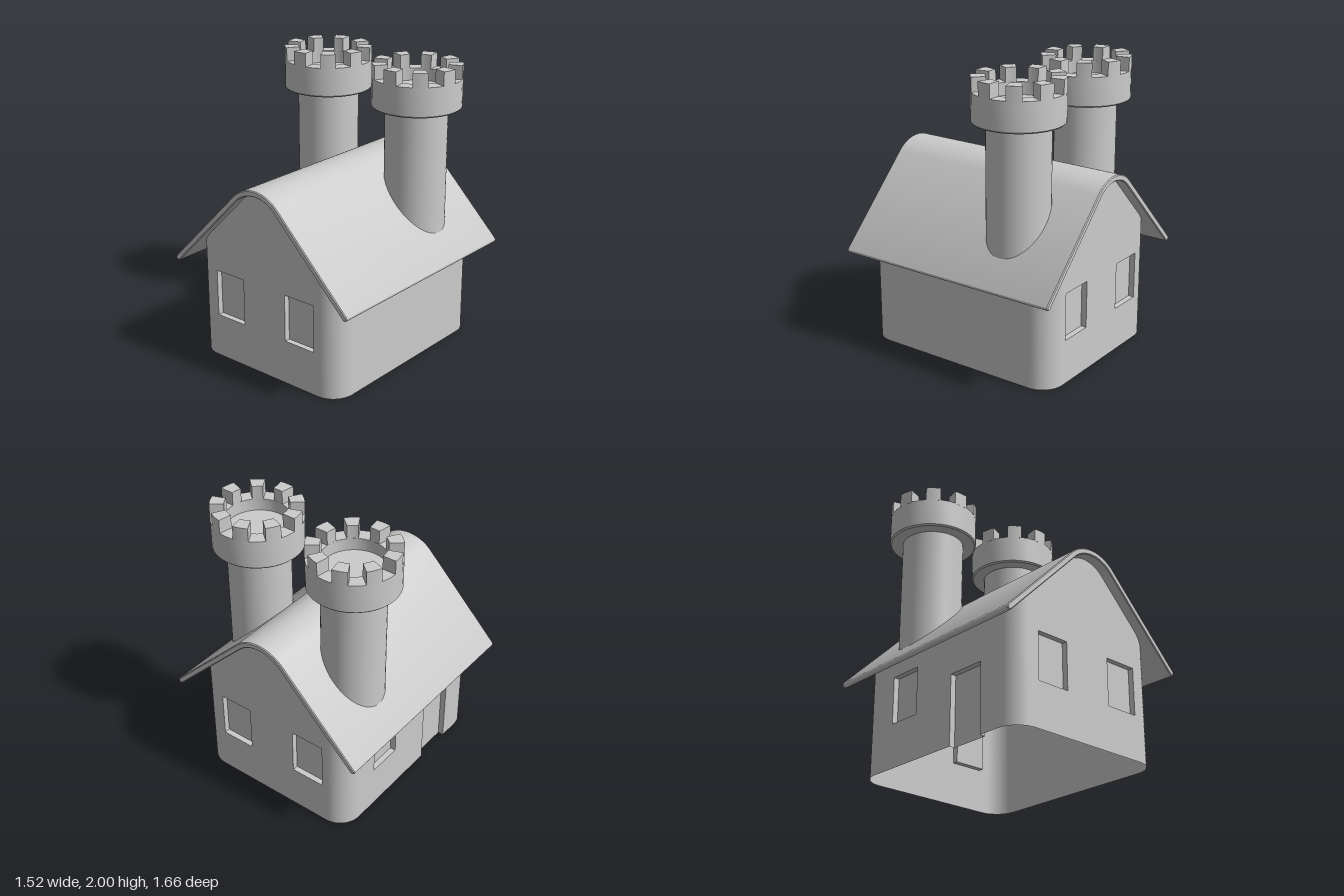
import * as THREE from 'three';
import { toCreasedNormals } from 'three/addons/utils/BufferGeometryUtils.js';

const material = new THREE.MeshStandardMaterial({ color: 0xcccccc });
const shell = new THREE.MeshStandardMaterial({ color: 0xcccccc, side: THREE.DoubleSide });

// Roof cross-section: a round ridge running into 45 degree slopes
const RIDGE_Y = 1.06, OUTER = 0.27, INNER = 0.23, MID = 0.25;
const roofY = (x, r) => Math.abs(x) < r * Math.SQRT1_2
  ? RIDGE_Y + Math.sqrt(r * r - x * x)
  : RIDGE_Y + r * Math.SQRT2 - Math.abs(x);

// House plan
const HALF_X = 0.62, HALF_Z = 0.755, CORNER = 0.16, RECESS = 0.04;
// Towers
const TOWER_R = 0.213, CROWN_R = 0.305, CROWN_IN = 0.21, TOWER_X = 0.387, TOWER_Z = -0.35;

function add(parent, name, geometry, mat = material) {
  const mesh = new THREE.Mesh(geometry, mat);
  mesh.name = name;
  parent.add(mesh);
  return mesh;
}

// Box without its outer face (and without its bottom for a doorway)
function recessGeometry(o) {
  const w = o.x1 - o.x0, h = o.y1 - o.y0;
  const geo = new THREE.BoxGeometry(w, h, RECESS);
  const index = Array.from(geo.index.array);
  geo.setIndex(index.filter((_, i) => {
    const face = Math.floor(i / 6);
    return face !== 4 && !(o.y0 === 0 && face === 3);
  }));
  geo.clearGroups();
  return geo.translate((o.x0 + o.x1) / 2, (o.y0 + o.y1) / 2, -RECESS / 2);
}

// Flat wall with openings, each closed by a shallow recess
function wall(name, half, distance, angle, topY, openings) {
  const group = new THREE.Group();
  group.name = name;
  const shape = new THREE.Shape();
  shape.moveTo(-half, 0);
  for (const o of openings) {
    if (o.y0 === 0) {
      shape.lineTo(o.x0, 0);
      shape.lineTo(o.x0, o.y1);
      shape.lineTo(o.x1, o.y1);
      shape.lineTo(o.x1, 0);
    } else {
      const hole = new THREE.Path();
      hole.moveTo(o.x0, o.y0);
      hole.lineTo(o.x0, o.y1);
      hole.lineTo(o.x1, o.y1);
      hole.lineTo(o.x1, o.y0);
      shape.holes.push(hole);
    }
  }
  shape.lineTo(half, 0);
  const steps = 48;
  for (let i = 0; i <= steps; i++) {
    const x = half - (2 * half * i) / steps;
    shape.lineTo(x, topY(x));
  }
  add(group, name + 'Panel', new THREE.ShapeGeometry(shape), shell);
  for (const o of openings) add(group, o.y0 === 0 ? 'door' : 'window', recessGeometry(o), shell);
  group.rotation.y = angle;
  group.position.set(Math.sin(angle) * distance, 0, Math.cos(angle) * distance);
  return group;
}

// Quarter-round house corner whose top follows the roof underside
function cornerGeometry(quarter) {
  const geo = new THREE.PlaneGeometry(1, 1, 10, 1);
  const p = geo.attributes.position, n = geo.attributes.normal;
  const mid = (quarter + 0.5) * Math.PI / 2;
  const cx = Math.sign(Math.sin(mid)) * (HALF_X - CORNER);
  const cz = Math.sign(Math.cos(mid)) * (HALF_Z - CORNER);
  for (let i = 0; i < p.count; i++) {
    const a = (quarter + p.getX(i) + 0.5) * Math.PI / 2;
    const x = cx + CORNER * Math.sin(a);
    p.setXYZ(i, x, p.getY(i) > 0 ? roofY(x, INNER) : 0, cz + CORNER * Math.cos(a));
    n.setXYZ(i, Math.sin(a), 0, Math.cos(a));
  }
  return geo;
}

function createHouse() {
  const house = new THREE.Group();
  house.name = 'house';
  const win = (x) => ({ x0: x - 0.123, x1: x + 0.123, y0: 0.31, y1: 0.64 });
  const door = { x0: 0.16, x1: 0.44, y0: 0, y1: 0.48 };
  const gable = (x) => roofY(x, INNER);
  const eave = () => roofY(HALF_X, INNER);
  const halfFront = HALF_X - CORNER, halfSide = HALF_Z - CORNER;
  house.add(
    wall('frontWall', halfFront, HALF_Z, 0, gable, [win(-0.307), win(0.307)]),
    wall('backWall', halfFront, HALF_Z, Math.PI, gable, [win(-0.307), win(0.307)]),
    wall('leftWall', halfSide, HALF_X, Math.PI / 2, eave, []),
    wall('rightWall', halfSide, HALF_X, -Math.PI / 2, eave, [win(-0.305), door]),
  );
  for (let k = 0; k < 4; k++) add(house, 'wallCorner', cornerGeometry(k), shell);
  house.position.set(-0.004, 0, 0.004);
  return house;
}

// Thin bent roof with rounded eaves
function roofGeometry() {
  const q = Math.PI / 4, ex = 0.738, ey = roofY(ex, MID), t = (OUTER - INNER) / 2;
  const s = new THREE.Shape();
  s.absarc(0, RIDGE_Y, OUTER, 3 * q, q, true);
  s.absarc(ex, ey, t, q, -3 * q, true);
  s.absarc(0, RIDGE_Y, INNER, q, 3 * q, false);
  s.absarc(-ex, ey, t, -q, -5 * q, true);
  const b = 0.006, depth = 1.664;
  const geo = new THREE.ExtrudeGeometry(s, {
    depth: depth - 2 * b, curveSegments: 20,
    bevelEnabled: true, bevelSize: b, bevelOffset: -b, bevelThickness: b, bevelSegments: 1,
  });
  return toCreasedNormals(geo.translate(0, 0, -depth / 2 + b), 0.6);
}

// Battlement block: a ring sector centred on +z
function merlonGeometry() {
  const a = -Math.PI / 2, h = 0.17;
  const s = new THREE.Shape();
  s.absarc(0, 0, CROWN_R, a - h, a + h, false);
  s.absarc(0, 0, CROWN_IN, a + h, a - h, true);
  const geo = new THREE.ExtrudeGeometry(s, { depth: 0.1, bevelEnabled: false, curveSegments: 4 });
  return toCreasedNormals(geo.rotateX(-Math.PI / 2).translate(0, 1.9, 0), 0.5);
}

function createTower(name, x) {
  const tower = new THREE.Group();
  tower.name = name;
  // Shaft, its foot cut along the roof
  const shaft = new THREE.CylinderGeometry(TOWER_R, TOWER_R, 1, 48, 1, true);
  const p = shaft.attributes.position;
  for (let i = 0; i < p.count; i++) {
    p.setY(i, p.getY(i) > 0 ? 1.71 : roofY(x + p.getX(i), MID));
  }
  add(tower, 'towerShaft', shaft, shell);
  // Crown with a sunken floor
  const profile = [[0, 1.7], [CROWN_R - 0.01, 1.7], [CROWN_R, 1.71], [CROWN_R, 1.905],
    [CROWN_IN, 1.905], [CROWN_IN, 1.82], [0, 1.82]].map(([r, y]) => new THREE.Vector2(r, y));
  add(tower, 'towerCrown', toCreasedNormals(new THREE.LatheGeometry(profile, 36), 0.5));
  const block = merlonGeometry();
  for (let k = 0; k < 9; k++) add(tower, 'merlon', block).rotation.y = (k * Math.PI * 2) / 9;
  tower.position.set(x, 0, TOWER_Z);
  return tower;
}

export function createModel() {
  const model = new THREE.Group();
  model.name = 'towerHouse';
  model.add(createHouse());
  add(model, 'roof', roofGeometry());
  model.add(createTower('leftTower', TOWER_X), createTower('rightTower', -TOWER_X));
  return model;
}
